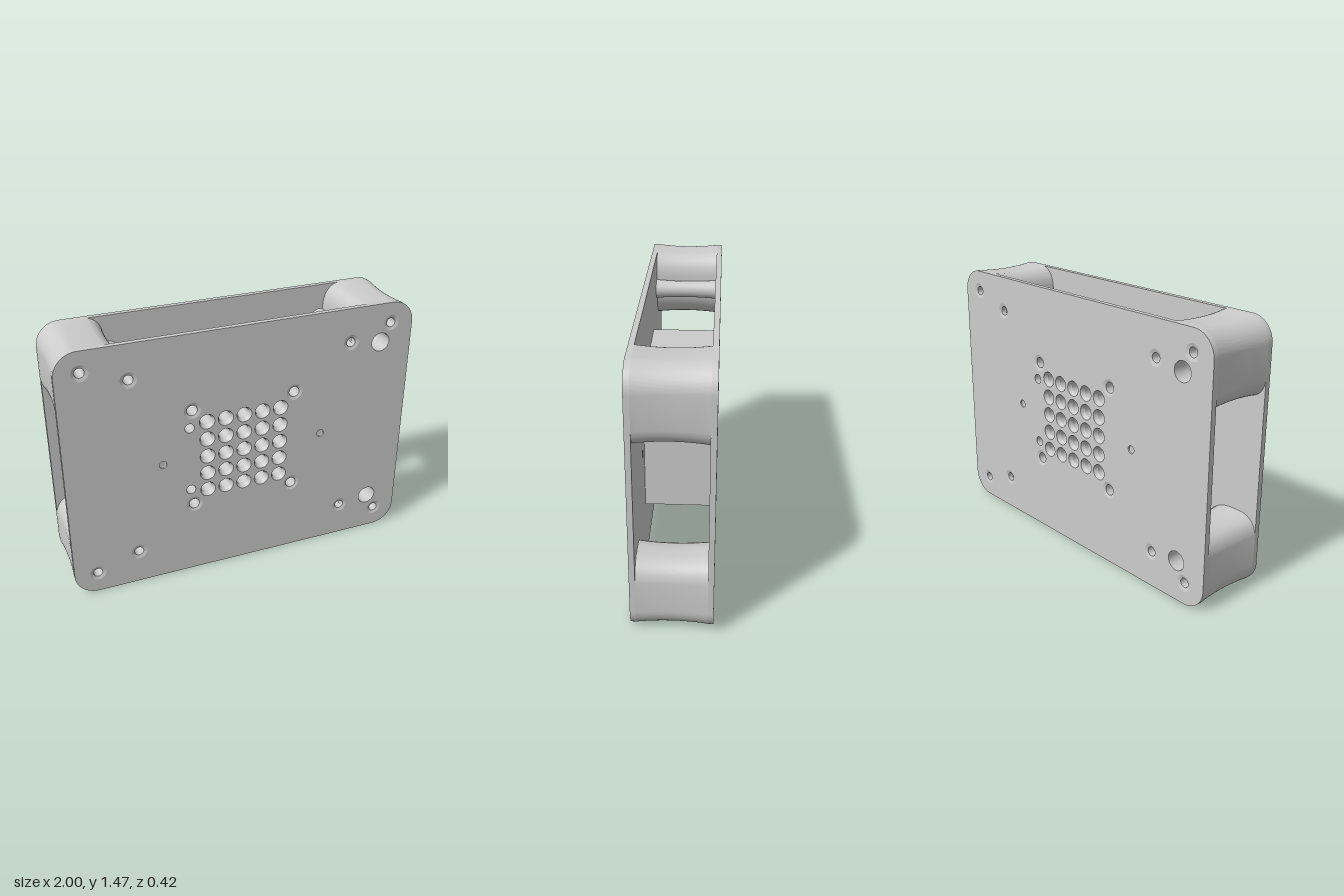
import * as THREE from 'three';
import { toCreasedNormals } from 'three/addons/utils/BufferGeometryUtils.js';

const H = 1.466, MID = H / 2, FACE = 0.21, INNER = 0.18;
const material = new THREE.MeshStandardMaterial({ color: 0xcccccc });
const liningMaterial = new THREE.MeshStandardMaterial({ color: 0xcccccc, side: THREE.DoubleSide });

// Open side wall along z following a counter-clockwise outline, narrowed at mid depth
function wall(points, cx, cy, waist, rows = 12) {
  const pos = [], index = [], n = points.length;
  for (let r = 0; r <= rows; r++) {
    const t = (r / rows) * 2 - 1;
    const s = 1 - waist * (1 - t * t);
    for (const p of points) pos.push(cx + (p.x - cx) * s, cy + (p.y - cy) * s, t * INNER);
  }
  for (let r = 0; r < rows; r++) {
    for (let i = 0; i < n; i++) {
      const j = (i + 1) % n;
      const a = r * n + i, b = r * n + j, c = a + n, d = b + n;
      index.push(a, b, d, a, d, c);
    }
  }
  const g = new THREE.BufferGeometry();
  g.setAttribute('position', new THREE.Float32BufferAttribute(pos, 3));
  g.setIndex(index);
  return toCreasedNormals(g, 0.6);
}

function circle(x, y, r, n = 28) {
  return Array.from({ length: n }, (_, i) => {
    const a = (i / n) * Math.PI * 2;
    return new THREE.Vector2(x + r * Math.cos(a), y + r * Math.sin(a));
  });
}

// Rounded corner post outline for the lower +x corner
function postOutline() {
  const s = new THREE.Shape();
  s.moveTo(0.87, 0);
  s.absarc(0.87, 0.13, 0.13, -Math.PI / 2, 0, false);
  s.lineTo(1, 0.31);
  s.quadraticCurveTo(0.985, 0.41, 0.88, 0.41);
  s.lineTo(0.84, 0.41);
  s.bezierCurveTo(0.72, 0.41, 0.645, 0.32, 0.645, 0.21);
  s.lineTo(0.645, 0.13);
  s.quadraticCurveTo(0.65, 0.02, 0.73, 0);
  const pts = s.getPoints(14);
  return pts.filter((p, i) => i === 0 || p.distanceTo(pts[i - 1]) > 1e-5);
}

// Hole positions; r is the rim radius on the plate
const through = [], blind = [];
for (const sx of [-1, 1]) {
  for (const sy of [-1, 1]) {
    through.push({ name: 'cornerScrewHole', x: sx * 0.868, y: MID + sy * 0.613, r: 0.045, inner: 0.025, step: 0.006 });
    through.push({ name: 'spacerScrewHole', x: sx * 0.627, y: MID + sy * 0.533, r: 0.045, inner: 0.025, step: 0.006 });
    through.push({ name: 'blockScrewHole', x: sx * 0.295, y: MID + sy * 0.294, r: 0.047, inner: 0.029, step: 0.006 });
  }
  blind.push({ name: 'dimple', x: sx * 0.467, y: MID, r: 0.022, inner: 0.017, depth: 0.012 });
  blind.push({ name: 'deepSocket', x: 0.81, y: MID + sx * 0.507, r: 0.054, inner: 0.028, depth: 0.15 });
  blind.push({ name: 'pinSocket', x: -0.313, y: MID + sx * 0.193, r: 0.027, inner: 0.014, depth: 0.09 });
}
for (let i = -2; i <= 2; i++) {
  for (let j = -2; j <= 2; j++) {
    through.push({ name: 'ventHole', x: i * 0.107, y: MID + j * 0.107, r: 0.044, inner: 0.032, step: 0.022 });
  }
}

// Rounded plate with every hole cut out
function plateGeometry() {
  const r = 0.13, s = new THREE.Shape();
  s.absarc(1 - r, r, r, -Math.PI / 2, 0, false);
  s.absarc(1 - r, H - r, r, 0, Math.PI / 2, false);
  s.absarc(r - 1, H - r, r, Math.PI / 2, Math.PI, false);
  s.absarc(r - 1, r, r, Math.PI, Math.PI * 1.5, false);
  for (const h of [...through, ...blind]) {
    s.holes.push(new THREE.Path(circle(h.x, h.y, h.r).reverse()));
  }
  const g = new THREE.ExtrudeGeometry(s, { depth: FACE - INNER, bevelEnabled: false, curveSegments: 16 });
  g.translate(0, 0, INNER);
  return toCreasedNormals(g, 0.6);
}

// Hole lining turned around z
function lining(h, profile) {
  const g = new THREE.LatheGeometry(profile.map(([r, z]) => new THREE.Vector2(r, z)), 28);
  g.rotateX(Math.PI / 2);
  g.translate(h.x, h.y, 0);
  return toCreasedNormals(g, 0.4);
}

export function createModel() {
  const group = new THREE.Group();
  const add = (parent, name, geometry, mat = material) => {
    const m = new THREE.Mesh(geometry, mat);
    m.name = name;
    parent.add(m);
    return m;
  };

  // Front and back plates with blind sockets; the back is the front turned half round
  for (const name of ['frontPlate', 'backPlate']) {
    const side = new THREE.Group();
    side.name = name;
    add(side, 'plate', plateGeometry());
    for (const h of blind) {
      const end = FACE - h.depth;
      add(side, h.name, lining(h, [
        [h.r, FACE], [h.r * 0.97, end + h.depth * 0.25], [h.inner, end], [0, end],
      ]), liningMaterial);
    }
    if (name === 'backPlate') side.rotation.y = Math.PI;
    group.add(side);
  }

  // Linings of the through holes
  for (const h of through) {
    const z = FACE - h.step;
    add(group, h.name, lining(h, [
      [h.r, FACE], [h.inner + 0.001, z], [h.inner, 0], [h.inner + 0.001, -z], [h.r, -FACE],
    ]), liningMaterial);
  }

  // Waisted corner posts and the slim spacers beside them
  const outline = postOutline();
  for (const sx of [-1, 1]) {
    for (const sy of [-1, 1]) {
      const pts = outline.map(p => new THREE.Vector2(sx * p.x, sy > 0 ? H - p.y : p.y));
      if (sx * sy > 0) pts.reverse();
      add(group, 'cornerPost', wall(pts, sx * 0.82, MID + sy * 0.533, 0.05));
      const x = sx * 0.627, y = MID + sy * 0.533;
      add(group, 'spacer', wall(circle(x, y, 0.055), x, y, 0.13));
    }
  }

  // Square central block between the plates
  const w = 0.37;
  const square = [[-w, -w], [w, -w], [w, w], [-w, w]].map(([x, y]) => new THREE.Vector2(x, MID + y));
  add(group, 'centralBlock', wall(square, 0, MID, 0, 1));

  return group;
}
